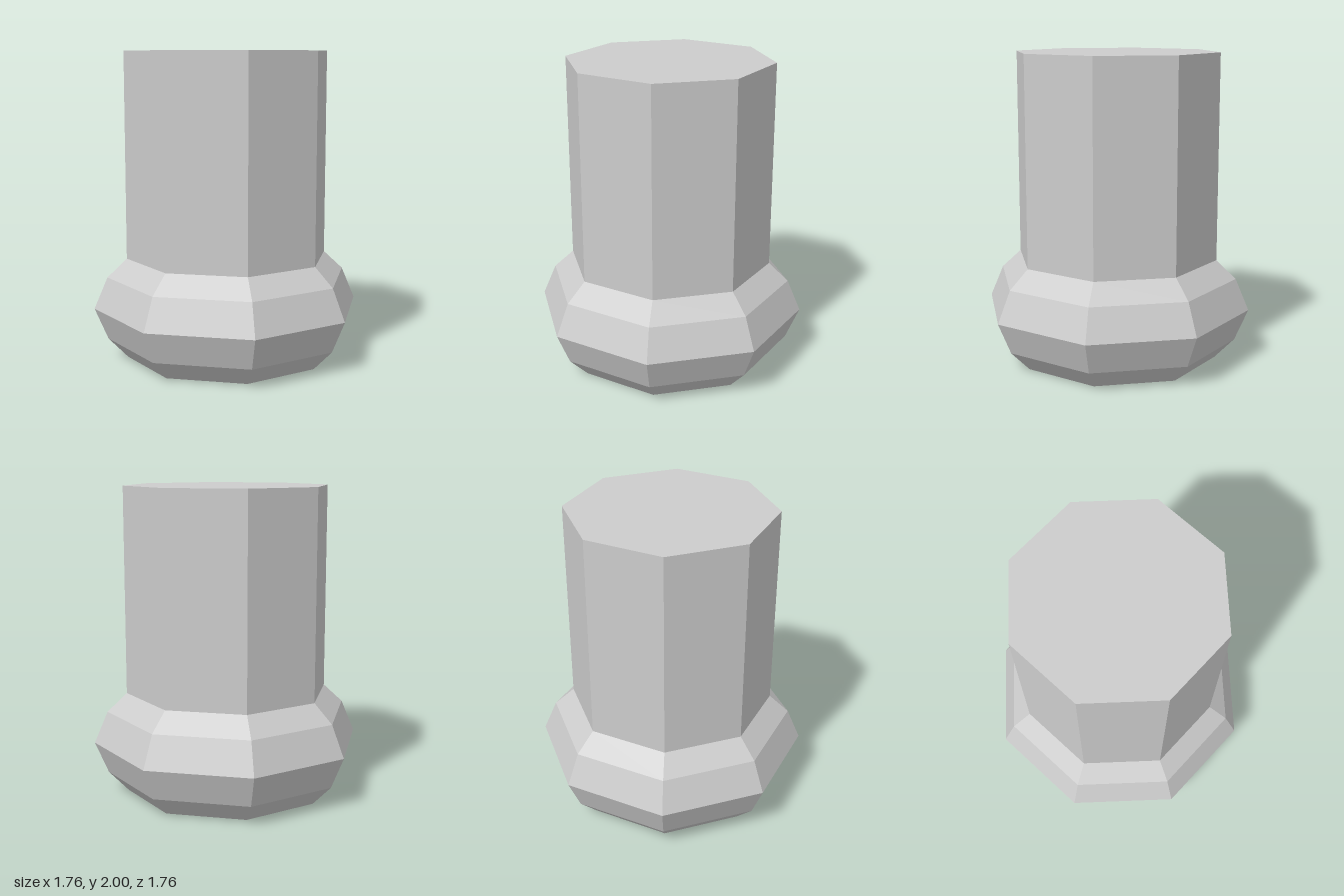
import * as THREE from 'three';

const SIDES = 8;
const RADIUS = 0.665;

export function createModel() {
  const model = new THREE.Group();
  model.name = 'flangedPost';

  const grey = new THREE.MeshStandardMaterial({ color: 0xcccccc });
  grey.name = 'light grey';
  grey.flatShading = true;

  // Octagonal shaft running the full height, closed at both ends
  const shaft = new THREE.Mesh(new THREE.CylinderGeometry(RADIUS, RADIUS, 2, SIDES), grey);
  shaft.name = 'shaft';
  shaft.position.y = 1;

  // Bulging collar around the foot, swept from bottom to top
  const profile = [
    [RADIUS, 0], [0.793, 0.132], [0.88, 0.338], [0.793, 0.543], [RADIUS, 0.663],
  ].map(([r, y]) => new THREE.Vector2(r, y));
  const collar = new THREE.Mesh(new THREE.LatheGeometry(profile, SIDES), grey);
  collar.name = 'collar';

  model.add(shaft, collar);
  return model;
}
